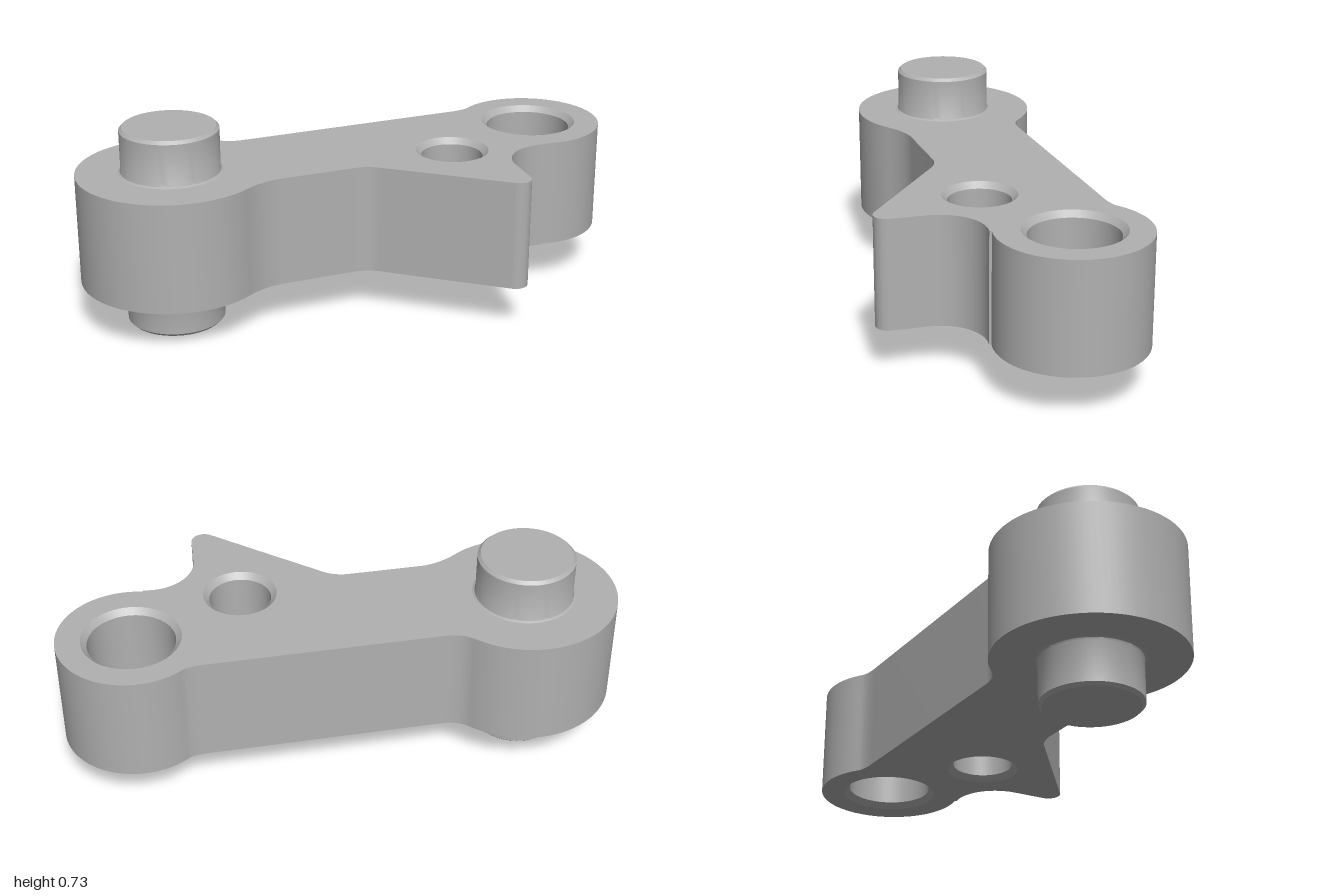
import * as THREE from 'three';
import { toCreasedNormals } from 'three/addons/utils/BufferGeometryUtils.js';

const Y0 = 0.167, Y1 = 0.567, TOP = 0.733;
const rad = THREE.MathUtils.degToRad;

// Plan outline of the arm, drawn with shape y pointing to -z
function armOutline() {
  const s = new THREE.Shape();
  s.moveTo(-0.45, 0.272);
  s.quadraticCurveTo(-0.41, 0.241, -0.35, 0.25);
  s.lineTo(0.46, 0.35);
  s.quadraticCurveTo(0.53, 0.356, 0.554, 0.374);
  s.absarc(0.735, 0.18, 0.265, rad(133), rad(-97.3), true); // small end
  s.absarc(0.68, -0.25, 0.16, rad(82.7), rad(183), false); // hollow beside the spur
  s.absarc(0.482, -0.39, 0.046, rad(3), rad(-123.3), true); // spur tip
  s.lineTo(0.05, -0.163);
  s.quadraticCurveTo(0.005, -0.134, -0.05, -0.142);
  s.lineTo(-0.31, -0.173);
  s.quadraticCurveTo(-0.38, -0.182, -0.45, -0.242);
  s.absarc(-0.665, 0.015, 0.335, rad(-50), rad(-310), true); // large end
  return s;
}

// Turned surface with crisp profile corners
function turned(points, x, z) {
  const lathe = new THREE.LatheGeometry(points.map(p => new THREE.Vector2(...p)), 64);
  return toCreasedNormals(lathe, 0.5).translate(x, 0, z);
}

export function createModel() {
  const group = new THREE.Group();
  const steel = new THREE.MeshStandardMaterial({ color: 0xb0b0b0 });
  steel.name = 'steel grey';
  const add = (name, geometry) => {
    const mesh = new THREE.Mesh(geometry, steel);
    mesh.name = name;
    group.add(mesh);
  };

  const holes = [
    { name: 'largeHole', x: 0.735, z: -0.183, r: 0.155 },
    { name: 'smallHole', x: 0.353, z: 0.05, r: 0.111 },
  ];
  const c = 0.021; // hole chamfer

  // Arm plate
  const outline = armOutline();
  for (const h of holes) {
    outline.holes.push(new THREE.Path().absarc(h.x, -h.z, h.r + c, 0, Math.PI * 2, true));
  }
  const plate = new THREE.ExtrudeGeometry(outline, { depth: Y1 - Y0, bevelEnabled: false, curveSegments: 32 });
  plate.rotateX(-Math.PI / 2).translate(0, Y0, 0);
  add('arm', toCreasedNormals(plate, 0.5));

  // Chamfered bores, profile runs downward so the surface faces inward
  for (const { name, x, z, r } of holes) {
    add(name, turned([[r + c, Y1], [r, Y1 - c], [r, Y0 + c], [r + c, Y0]], x, z));
  }

  // Pin through the large end, with chamfered ends and a small flare at the arm
  const R = 0.175, e = 0.011;
  add('pin', turned([
    [0, 0], [R - e, 0], [R, e], [R, Y0 - e], [R + 0.003, Y0 - 0.004], [R + e, Y0],
    [R + e, Y1], [R + 0.003, Y1 + 0.004], [R, Y1 + e], [R, TOP - e], [R - e, TOP], [0, TOP],
  ], -0.665, -0.013));

  return group;
}
